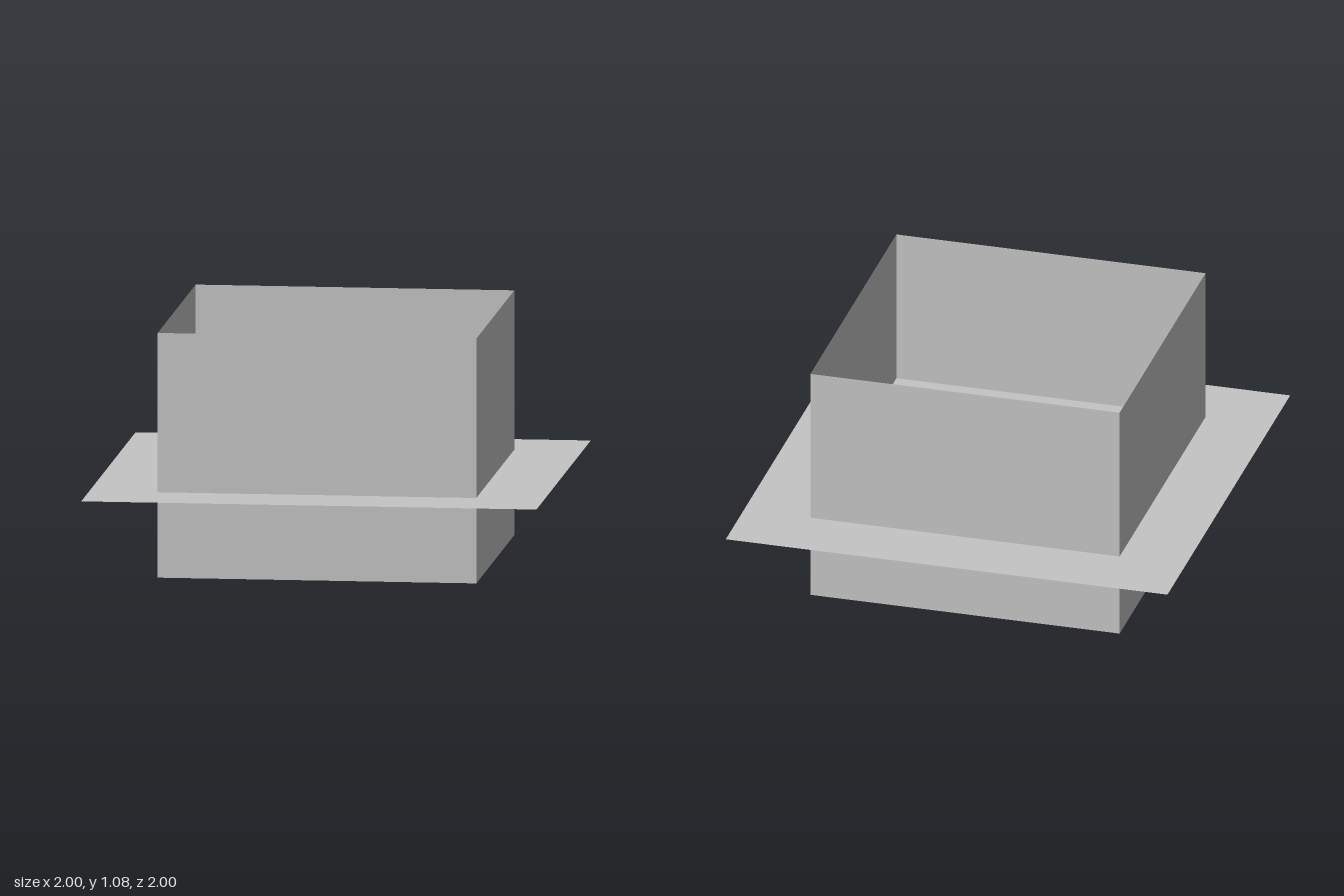
import * as THREE from 'three';

const HALF = 0.7;       // half width of the square sleeve
const HEIGHT = 1.08;    // sleeve height
const PLATE_Y = 0.377;  // height of the flat plate

export function createModel() {
  const model = new THREE.Group();
  const grey = new THREE.MeshStandardMaterial({ color: 0xc4c4c4, side: THREE.DoubleSide });
  grey.name = 'light grey';

  // Four thin walls of the sleeve, open at top and bottom
  const sleeve = new THREE.Group();
  sleeve.name = 'sleeve';
  const wallGeometry = new THREE.PlaneGeometry(2 * HALF, HEIGHT);
  wallGeometry.translate(0, HEIGHT / 2, HALF);
  ['frontWall', 'leftWall', 'backWall', 'rightWall'].forEach((name, i) => {
    const wall = new THREE.Mesh(wallGeometry, grey);
    wall.name = name;
    wall.rotation.y = i * Math.PI / 2;
    sleeve.add(wall);
  });
  model.add(sleeve);

  // Square plate passing through the sleeve
  const plate = new THREE.Mesh(new THREE.PlaneGeometry(2, 2), grey);
  plate.name = 'plate';
  plate.rotation.x = -Math.PI / 2;
  plate.position.y = PLATE_Y;
  model.add(plate);

  return model;
}
